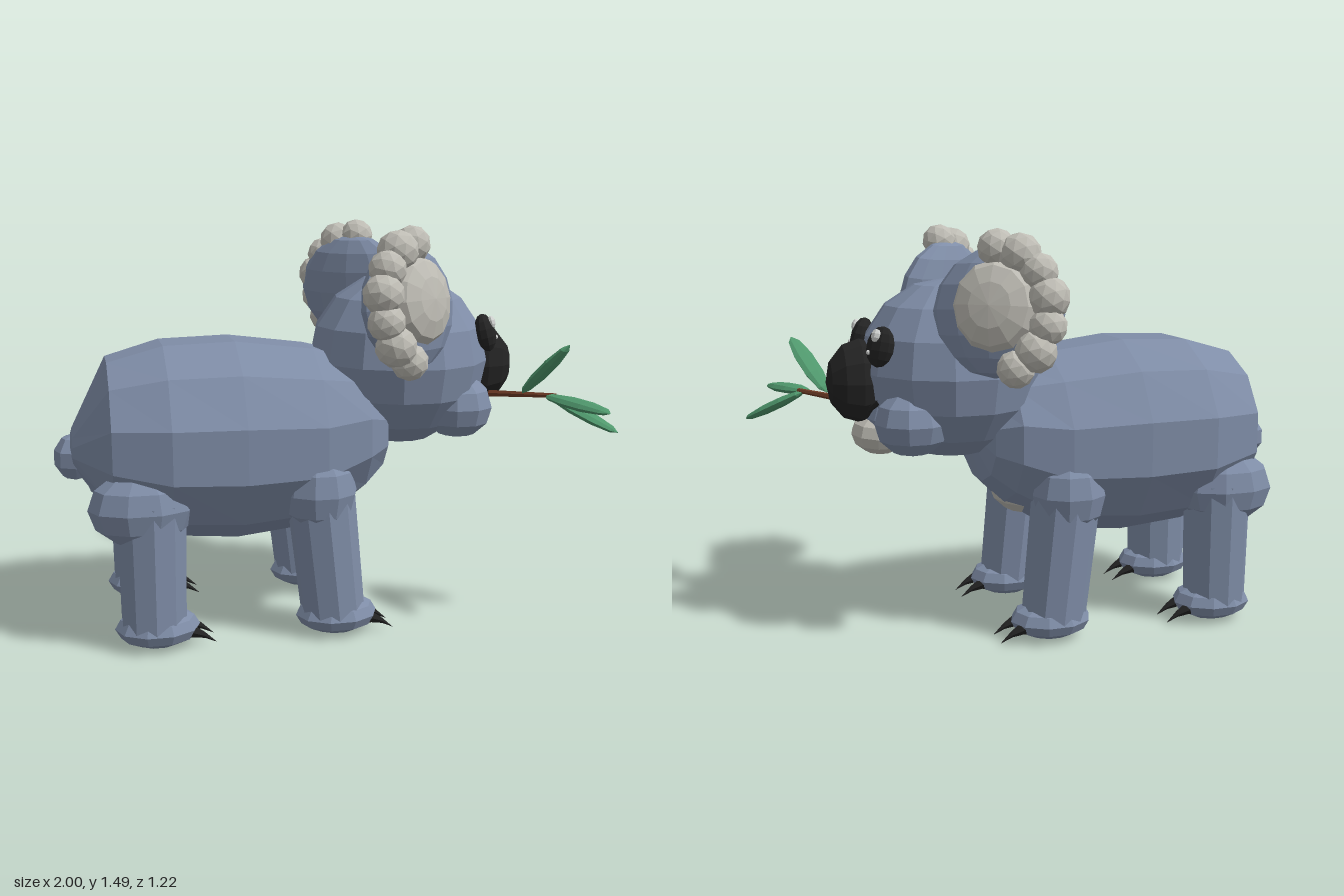
import * as THREE from 'three';

const mat = (name, color) => {
  const m = new THREE.MeshStandardMaterial({ color, flatShading: true });
  m.name = name;
  return m;
};

export function createModel() {
  const fur = mat('blue grey fur', 0x7f8da7);
  const pale = mat('pale fur', 0xbebcb4);
  const black = mat('black', 0x232323);
  const green = mat('leaf green', 0x4f976c);
  const brown = mat('twig brown', 0x6e3b25);
  const white = mat('glint', 0xd2d4d2);

  const model = new THREE.Group();
  model.name = 'koala';
  const V = (x, y, z) => new THREE.Vector3(x, y, z);
  const add = (name, geo, material, parent = model) => {
    const m = new THREE.Mesh(geo, material);
    m.name = name;
    parent.add(m);
    return m;
  };
  // faceted ellipsoid: centre, radii, number of sides and rows
  const blob = (name, material, c, r, sides = 10, rows = 6, parent = model) => {
    const m = add(name, new THREE.SphereGeometry(1, sides, rows), material, parent);
    m.position.set(...c);
    m.scale.set(...r);
    return m;
  };
  // tapered cylinder from a to b
  const limb = (name, material, a, b, ra, rb, sides) => {
    const d = b.clone().sub(a);
    const m = add(name, new THREE.CylinderGeometry(rb, ra, d.length(), sides), material);
    m.position.copy(a).addScaledVector(d, 0.5);
    m.quaternion.setFromUnitVectors(V(0, 1, 0), d.normalize());
    return m;
  };

  // body: twelve-sided sections, flat below, as [x, centre y, half height, half width]
  const sections = [
    [-0.95, 0.69, 0, 0], [-0.93, 0.69, 0.07, 0.11], [-0.8, 0.73, 0.29, 0.34],
    [-0.6, 0.715, 0.364, 0.41], [-0.34, 0.708, 0.38, 0.41], [-0.05, 0.705, 0.346, 0.382],
    [0.12, 0.74, 0.268, 0.33], [0.2, 0.74, 0.185, 0.255], [0.25, 0.76, 0, 0],
  ];
  const sides = 12, pos = [], idx = [];
  sections.forEach(([x, cy, ry, rz], i) => {
    for (let j = 0; j < sides; j++) {
      const a = ((j + 0.5) / sides) * Math.PI * 2;
      pos.push(x, cy + ry * Math.cos(a), rz * Math.sin(a));
      if (i === sections.length - 1) continue;
      const p = i * sides + j, q = i * sides + ((j + 1) % sides);
      idx.push(p, q, q + sides, p, q + sides, p + sides);
    }
  });
  const bodyGeo = new THREE.BufferGeometry();
  bodyGeo.setAttribute('position', new THREE.Float32BufferAttribute(pos, 3));
  bodyGeo.setIndex(idx);
  bodyGeo.computeVertexNormals();
  add('body', bodyGeo, fur);
  blob('tail', fur, [-0.92, 0.655, 0], [0.08, 0.088, 0.095], 8, 5);
  blob('chestPatch', pale, [0.03, 0.53, 0], [0.12, 0.11, 0.19], 10, 6);

  // head, with the nose fan pointing forward
  blob('head', fur, [0.3, 0.985, 0], [0.337, 0.328, 0.37], 14, 8);
  blob('muzzle', fur, [0.46, 0.82, 0], [0.17, 0.13, 0.22], 12, 6);
  blob('chin', pale, [0.57, 0.757, 0], [0.1, 0.075, 0.155], 10, 6);
  blob('nose', black, [0.635, 0.95, 0], [0.152, 0.122, 0.115], 12, 6).rotation.z = -Math.PI / 2;
  const smile = new THREE.QuadraticBezierCurve3(V(0.59, 0.89, -0.12), V(0.68, 0.78, 0), V(0.59, 0.89, 0.12));
  add('mouth', new THREE.TubeGeometry(smile, 8, 0.01, 5), black);

  // claw: cone bent downward toward its tip
  const claw = new THREE.ConeGeometry(0.034, 0.13, 6, 3);
  claw.rotateZ(-Math.PI / 2);
  const cp = claw.attributes.position;
  for (let i = 0; i < cp.count; i++) {
    const t = (cp.getX(i) + 0.065) / 0.13;
    cp.setY(i, cp.getY(i) - 0.055 * t * t);
  }
  const tuft = new THREE.IcosahedronGeometry(1, 1);

  for (const s of [1, -1]) {
    const side = s > 0 ? 'right' : 'left';
    blob(side + 'Cheek', fur, [0.485, 0.82, s * 0.175], [0.135, 0.122, 0.138], 10, 6);

    // eyes: flat ovals tilted to lie on the face, with glints
    const eye = new THREE.Group();
    eye.name = side + 'Eye';
    eye.position.set(0.592, 1.09, s * 0.174);
    eye.rotation.set(0, -s * 0.45, 0.25);
    model.add(eye);
    blob('eyeball', black, [0, 0, 0], [0.038, 0.072, 0.065], 10, 7, eye);
    blob('glint', white, [0.032, 0.034, s * 0.006], [0.015, 0.024, 0.021], 7, 5, eye);
    blob('smallGlint', white, [0.033, -0.026, -s * 0.018], [0.008, 0.009, 0.009], 6, 4, eye);

    // ears: disc facing forward, outward and slightly up, with a fluffy outer rim
    const ear = new THREE.Group();
    ear.name = side + 'Ear';
    ear.position.set(0.23, 1.215, s * 0.372);
    ear.rotation.set(-0.16, s > 0 ? 0.64 : Math.PI - 0.64, 0, 'YXZ');
    model.add(ear);
    blob('earShell', fur, [0, 0, 0], [0.235, 0.222, 0.095], 12, 8, ear);
    const inner = blob('innerEar', pale, [-s * 0.01, 0.015, 0.068], [0.148, 0.06, 0.155], 12, 6, ear);
    inner.rotation.x = Math.PI / 2;
    for (let i = 0; i < 7; i++) {
      const a = THREE.MathUtils.degToRad(i * 25.5);
      const m = add('earTuft', tuft, pale, ear);
      m.position.set(-s * 0.195 * Math.sin(a), 0.21 * Math.cos(a), 0.045);
      m.scale.setScalar(0.066 + (i % 2) * 0.007);
      m.rotation.z = i;
    }

    // legs: joint, top and bottom of the shaft, foot and two claws
    const legs = [
      ['front', V(-0.065, 0.545, s * 0.277), [0.138, 0.155, 0.13], -0.06, -0.012],
      ['hind', V(-0.7, 0.52, s * 0.27), [0.19, 0.142, 0.13], -0.67, -0.67],
    ];
    for (const [kind, joint, r, topX, ankleX] of legs) {
      const n = kind + side[0].toUpperCase() + side.slice(1);
      const z = s * 0.265, footX = ankleX + 0.012;
      blob(n + 'Joint', fur, joint.toArray(), r, 10, 6);
      limb(n + 'Leg', fur, V(ankleX, 0.08, z), V(topX, 0.54, z), 0.118, 0.126, 10);
      blob(n + 'Foot', fur, [footX, 0.076, z], [0.152, 0.07, 0.126], 10, 6);
      for (const k of [-1, 1]) {
        add(n + 'Claw', claw, black).position.set(footX + 0.142, 0.07, z + k * 0.045);
      }
    }
  }

  // twig held in the mouth
  limb('twig', brown, V(0.63, 0.853, 0.137), V(0.81, 0.872, 0.34), 0.014, 0.009, 6);

  // leaves: thin pointed ellipsoids lying as flat as their direction allows
  const leaves = [
    [V(0.71, 0.87, 0.26), V(0.82, 1.07, 0.42)],
    [V(0.78, 0.87, 0.32), V(0.885, 0.855, 0.628)],
    [V(0.79, 0.87, 0.32), V(1.0, 0.75, 0.47)],
  ];
  for (const [a, b] of leaves) {
    const dir = b.clone().sub(a);
    const leaf = add('leaf', new THREE.SphereGeometry(1, 8, 5), green);
    leaf.scale.set(0.049, dir.length() / 2, 0.02);
    leaf.position.copy(a).addScaledVector(dir, 0.5);
    dir.normalize();
    const across = dir.clone().cross(V(0, 1, 0)).normalize();
    leaf.quaternion.setFromRotationMatrix(
      new THREE.Matrix4().makeBasis(across, dir, across.clone().cross(dir)));
  }

  model.position.z = -0.022;
  const root = new THREE.Group();
  root.add(model);
  return root;
}
